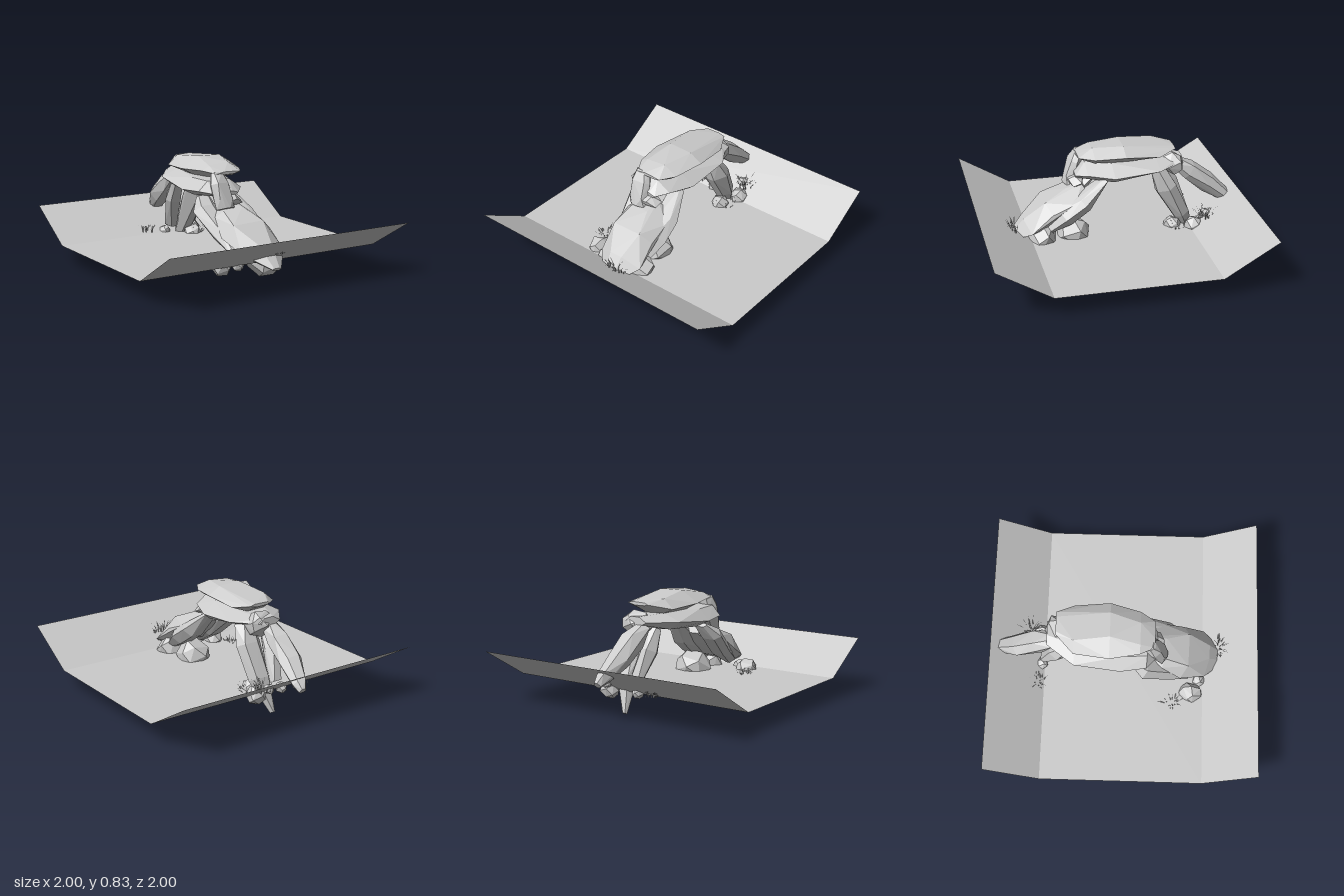
import * as THREE from 'three';
import { ConvexGeometry } from 'three/addons/geometries/ConvexGeometry.js';

const stone = new THREE.MeshStandardMaterial({ color: 0xcccccc, flatShading: true });
const sheet = new THREE.MeshStandardMaterial({ color: 0xcccccc, flatShading: true, side: THREE.DoubleSide });

function seeded(seed) {
  let s = seed * 7919 + 17;
  return () => (s = (s * 16807) % 2147483647) / 2147483647;
}

// Angular slab: hull of uneven six-sided rings; each station is [x, y, z, halfWidth, halfHeight]
function slab(name, seed, stations) {
  const rand = seeded(seed);
  const a = stations[0], b = stations[stations.length - 1];
  const dir = new THREE.Vector3(0, b[1] - a[1], b[2] - a[2]).normalize();
  const side = new THREE.Vector3(1, 0, 0);
  const up = new THREE.Vector3().crossVectors(dir, side);
  const points = [];
  for (const [x, y, z, w, h] of stations) {
    for (let i = 0; i < 6; i++) {
      const t = (i + (rand() - 0.5) * 0.5) * Math.PI / 3;
      const r = 0.9 + rand() * 0.18;
      points.push(new THREE.Vector3(x, y, z)
        .addScaledVector(side, Math.cos(t) * w * r)
        .addScaledVector(up, Math.sin(t) * h * r * 1.12));
    }
  }
  const mesh = new THREE.Mesh(new ConvexGeometry(points), stone);
  mesh.name = name;
  return mesh;
}

// Rounded boulder: hull of jittered points spread over an ellipsoid
function boulder(name, seed, [x, y, z], [rx, ry, rz], count = 18) {
  const rand = seeded(seed);
  const points = [];
  for (let i = 0; i < count; i++) {
    const v = 1 - 2 * (i + 0.5) / count;
    const t = i * 2.39996 + rand() * 0.5;
    const c = Math.sqrt(1 - v * v), r = 0.94 + rand() * 0.14;
    points.push(new THREE.Vector3(x + Math.cos(t) * c * rx * r, y + v * ry * r, z + Math.sin(t) * c * rz * r));
  }
  const mesh = new THREE.Mesh(new ConvexGeometry(points), stone);
  mesh.name = name;
  return mesh;
}

// Tuft of thin bent blades, each a tapering ribbon that leans outward
function tuft(name, seed, [x, y, z], spreadX, spreadZ, height, count) {
  const rand = seeded(seed);
  const pos = [], index = [];
  for (let i = 0; i < count; i++) {
    const t = rand() * Math.PI * 2, d = Math.sqrt(rand());
    const bx = x + Math.cos(t) * d * spreadX, bz = z + Math.sin(t) * d * spreadZ;
    const h = height * (0.5 + rand() * 0.5), lean = h * (0.2 + rand() * 0.4);
    const base = pos.length / 3;
    for (let k = 0; k < 4; k++) {
      const f = k / 3, w = 0.004 * (1 - f * 0.9);
      const cx = bx + Math.cos(t) * lean * f * f, cz = bz + Math.sin(t) * lean * f * f;
      const cy = y + h * (f - 0.25 * f * f);
      pos.push(cx - Math.sin(t) * w, cy, cz + Math.cos(t) * w, cx + Math.sin(t) * w, cy, cz - Math.cos(t) * w);
      if (k < 3) {
        const n = base + k * 2;
        index.push(n, n + 1, n + 2, n + 1, n + 3, n + 2);
      }
    }
  }
  const geo = new THREE.BufferGeometry();
  geo.setAttribute('position', new THREE.Float32BufferAttribute(pos, 3));
  geo.setIndex(index);
  geo.computeVertexNormals();
  const mesh = new THREE.Mesh(geo, sheet);
  mesh.name = name;
  return mesh;
}

// Ground sheet with its front and back strips bent upward
function ground() {
  const geo = new THREE.PlaneGeometry(2, 2, 1, 3).rotateX(-Math.PI / 2);
  const p = geo.attributes.position;
  for (let i = 0; i < p.count; i++) {
    const end = Math.abs(p.getZ(i)) > 0.9;
    p.setY(i, end ? 0.4 : 0.16);
    if (!end) p.setZ(i, Math.sign(p.getZ(i)) * 0.6);
  }
  geo.computeVertexNormals();
  const mesh = new THREE.Mesh(geo, sheet);
  mesh.name = 'ground';
  return mesh;
}

export function createModel() {
  const model = new THREE.Group();
  model.name = 'rockArch';
  model.add(ground());

  // Arch top: two stacked slabs
  model.add(
    slab('upperCapstone', 1, [[-0.06, 0.75, 0.23, 0.1, 0.01], [-0.05, 0.755, 0.12, 0.17, 0.05],
      [-0.04, 0.76, -0.1, 0.205, 0.07], [-0.04, 0.755, -0.36, 0.18, 0.055], [0, 0.78, -0.49, 0.09, 0.012]]),
    slab('lowerCapstone', 2, [[-0.08, 0.6, 0.25, 0.1, 0.02], [-0.08, 0.64, 0.17, 0.19, 0.06],
      [-0.065, 0.63, -0.02, 0.235, 0.075], [-0.06, 0.645, -0.36, 0.22, 0.06], [-0.03, 0.67, -0.56, 0.09, 0.03]]));

  // Front leg: broad leaning slab, two slabs behind it, upright and wedge
  model.add(
    slab('frontLeg', 3, [[-0.03, 0.5, 0.18, 0.1, 0.04], [-0.04, 0.44, 0.28, 0.18, 0.08],
      [-0.04, 0.35, 0.44, 0.21, 0.11], [-0.02, 0.24, 0.61, 0.18, 0.07], [0, 0.14, 0.77, 0.04, 0.012]]),
    slab('frontLegLeftSlab', 4, [[0.05, 0.58, 0.03, 0.06, 0.02], [0.1, 0.42, 0.2, 0.09, 0.06],
      [0.09, 0.33, 0.35, 0.1, 0.07], [0.07, 0.2, 0.52, 0.06, 0.03]]),
    slab('frontLegRightSlab', 5, [[-0.17, 0.56, 0.06, 0.06, 0.02], [-0.2, 0.48, 0.15, 0.1, 0.05],
      [-0.17, 0.33, 0.33, 0.09, 0.06], [-0.16, 0.22, 0.48, 0.05, 0.03]]),
    slab('frontUpright', 6, [[-0.13, 0.75, 0.19, 0.06, 0.035], [-0.13, 0.67, 0.22, 0.085, 0.055],
      [-0.12, 0.56, 0.26, 0.085, 0.055], [-0.12, 0.5, 0.29, 0.07, 0.035]]),
    boulder('frontWedge', 7, [-0.06, 0.55, 0.24], [0.12, 0.045, 0.07], 12));

  // Back leg: steep inner slab, outer leaning slab and the joint between
  model.add(
    slab('backInnerLeg', 8, [[0.05, 0.62, -0.36, 0.08, 0.05], [0.06, 0.48, -0.43, 0.1, 0.075],
      [0.05, 0.25, -0.55, 0.08, 0.06], [0, 0.01, -0.65, 0.02, 0.02]]),
    slab('backOuterLeg', 9, [[-0.06, 0.62, -0.52, 0.07, 0.04], [-0.06, 0.54, -0.63, 0.09, 0.07],
      [-0.05, 0.43, -0.78, 0.09, 0.07], [-0.02, 0.32, -0.92, 0.055, 0.05], [-0.01, 0.28, -0.97, 0.03, 0.025]]),
    slab('backInnerRearSlab', 10, [[-0.1, 0.6, -0.42, 0.05, 0.04], [-0.1, 0.45, -0.5, 0.07, 0.06],
      [-0.06, 0.22, -0.6, 0.05, 0.04]]),
    boulder('backJoint', 11, [0.0, 0.64, -0.49], [0.12, 0.1, 0.085], 16));

  // Boulders at the feet, partly sunk through the ground
  [
    [[0.07, 0.16, 0.52], [0.14, 0.14, 0.115]],
    [[0.05, 0.175, 0.28], [0.14, 0.125, 0.13]],
    [[-0.3, 0.16, 0.51], [0.08, 0.08, 0.09]],
    [[-0.2, 0.16, 0.57], [0.05, 0.05, 0.05]],
    [[0.14, 0.17, -0.63], [0.075, 0.075, 0.07]],
    [[0.07, 0.16, -0.48], [0.07, 0.07, 0.07]],
    [[0.1, 0.24, -0.73], [0.04, 0.04, 0.04]],
    [[-0.1, 0.17, -0.62], [0.045, 0.045, 0.045]],
  ].forEach(([c, r], i) => model.add(boulder('footBoulder' + (i + 1), 20 + i, c, r)));

  // Grass: position, spread in x and z, height, blade count
  [
    [[-0.37, 0.14, 0.37], 0.05, 0.07, 0.08, 26],
    [[0.05, 0.24, 0.72], 0.08, 0.04, 0.1, 26],
    [[-0.25, 0.17, -0.65], 0.05, 0.06, 0.09, 28],
    [[0.14, 0.23, -0.71], 0.06, 0.06, 0.11, 34],
    [[0.12, 0.14, -0.51], 0.07, 0.06, 0.1, 30],
  ].forEach((t, i) => model.add(tuft('grassTuft' + (i + 1), 40 + i, ...t)));

  return model;
}
